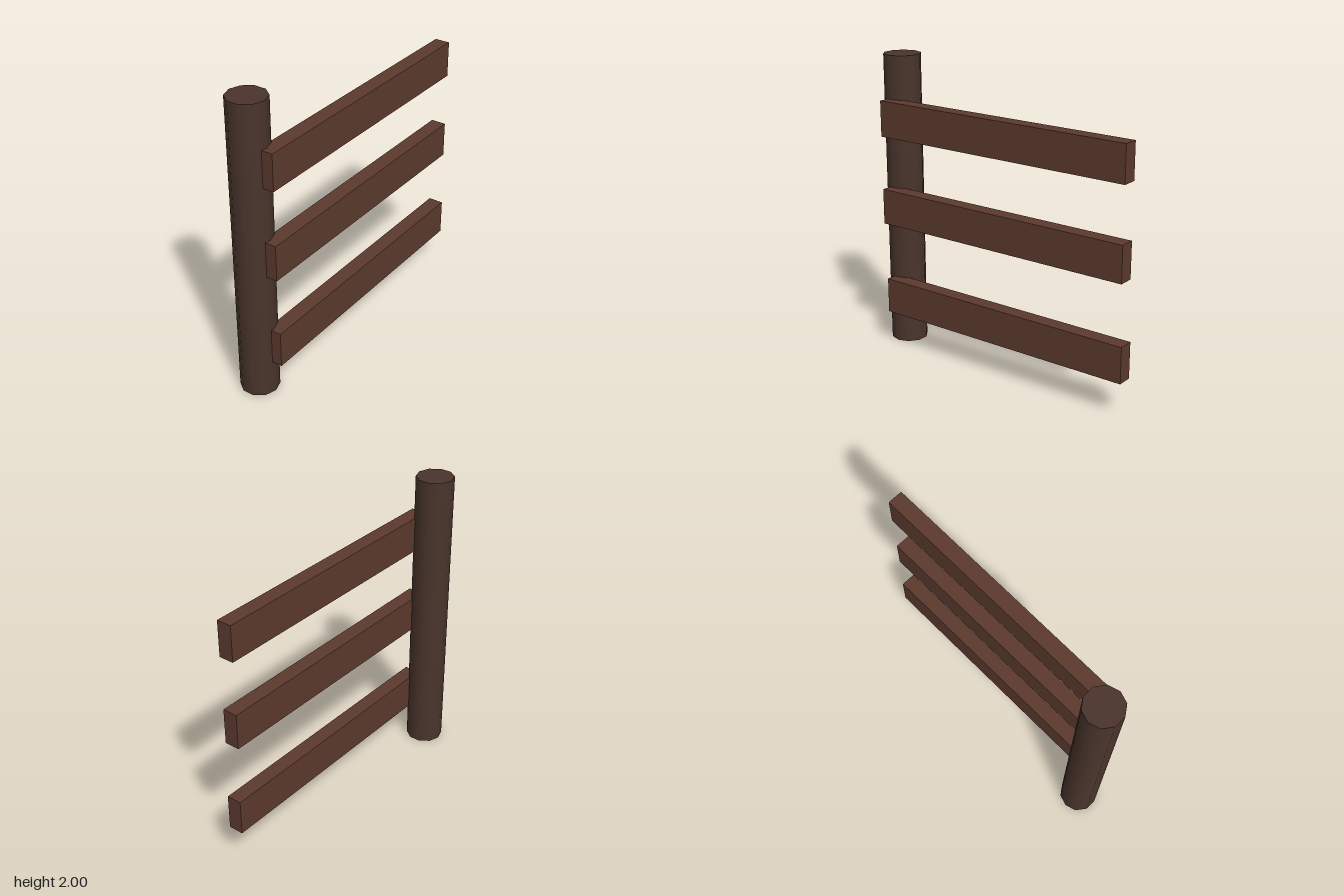
import * as THREE from 'three';

export function createModel() {
  const group = new THREE.Group();
  const postMaterial = new THREE.MeshStandardMaterial({ color: 0x4a352c });
  const railMaterial = new THREE.MeshStandardMaterial({ color: 0x5c3a2e });

  // Upright ten-sided post
  const post = new THREE.Mesh(new THREE.CylinderGeometry(0.125, 0.125, 2, 10), postMaterial);
  post.name = 'post';
  post.position.set(-0.865, 1, -0.032);
  group.add(post);

  // Three boards set into the front of the post; the lowest sits slightly further along
  const railGeometry = new THREE.BoxGeometry(1.863, 0.24, 0.101);
  const rails = [
    ['lowerRail', 0.05, 0.354],
    ['middleRail', 0.035, 0.99],
    ['upperRail', 0.035, 1.59],
  ];
  for (const [name, x, y] of rails) {
    const rail = new THREE.Mesh(railGeometry, railMaterial);
    rail.name = name;
    rail.position.set(x, y, 0.107);
    group.add(rail);
  }

  return group;
}
